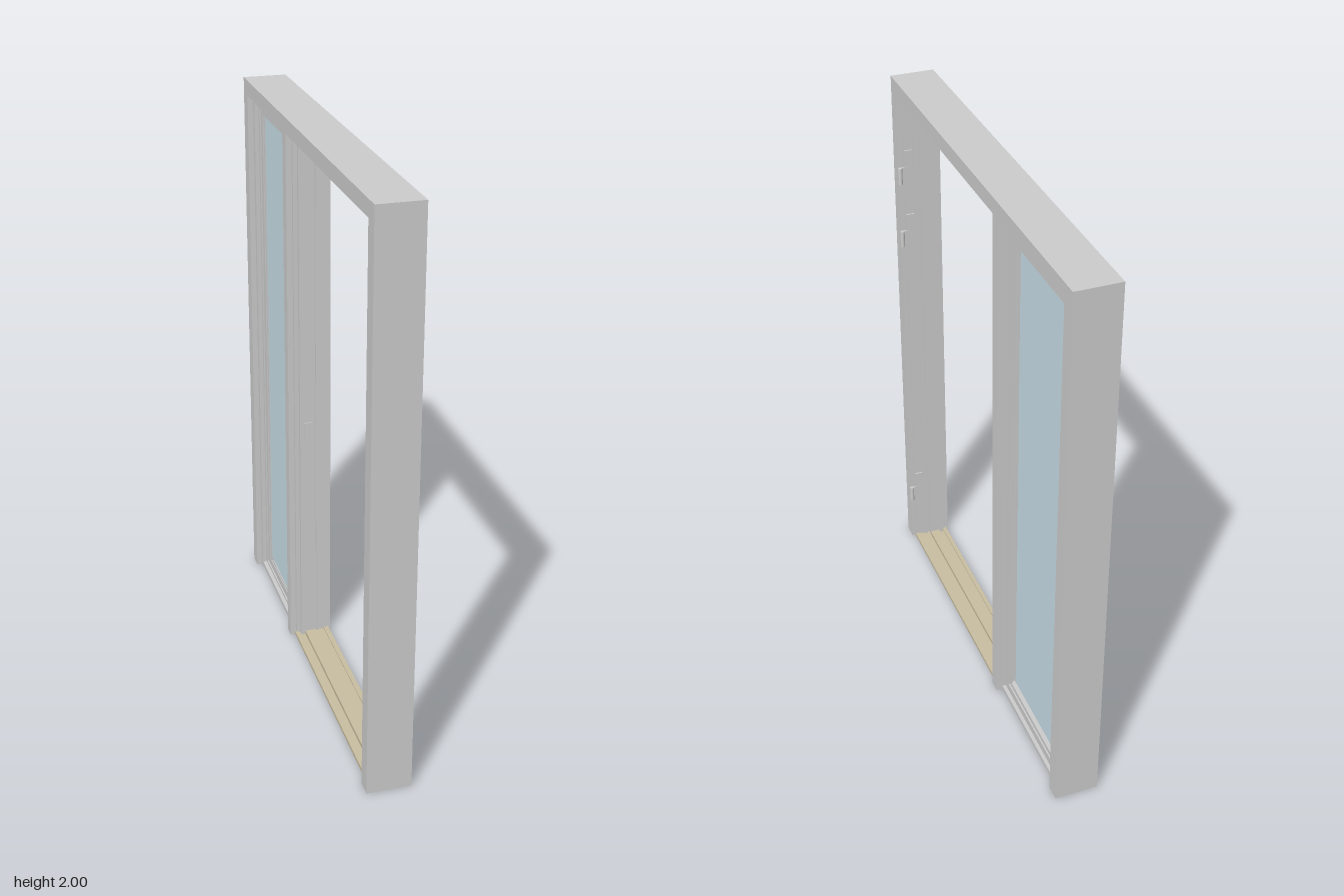
import * as THREE from 'three';

const grey = new THREE.MeshStandardMaterial({ color: 0xcccccc });
const glassMat = new THREE.MeshStandardMaterial({ color: 0xc8dde6 });
const sillMat = new THREE.MeshStandardMaterial({ color: 0xc8bda0 });

const HALF = 0.79, TOP = 2, MULLION = -0.21;

// Depth slabs of the stepped profile: [x0, x1, frame width, mullion half width]
const STEPS = [
  [0.055, 0.07, 0.055, 0.022],
  [0.02, 0.055, 0.07, 0.03],
  [0.012, 0.02, 0.078, 0.038],
  [0.002, 0.012, 0.07, 0.03],
  [-0.05, 0.002, 0.09, 0.05],
  [-0.065, -0.05, 0.075, 0.035],
  [-0.085, -0.065, 0.055, 0.022],
];

function add(group, name, geometry, material = grey) {
  const mesh = new THREE.Mesh(geometry, material);
  mesh.name = name;
  group.add(mesh);
  return mesh;
}

// Box given by its limits on each axis
function box(group, name, x0, x1, y0, y1, z0, z1, material) {
  const g = new THREE.BoxGeometry(x1 - x0, y1 - y0, z1 - z0);
  g.translate((x0 + x1) / 2, (y0 + y1) / 2, (z0 + z1) / 2);
  return add(group, name, g, material);
}

// Outline in the z-y plane, extruded along x
function slab(points, x0, x1, hole) {
  const toVec = ([z, y]) => new THREE.Vector2(-z, y);
  const shape = new THREE.Shape(points.map(toVec));
  if (hole) shape.holes.push(new THREE.Path(hole.map(toVec)));
  return new THREE.ExtrudeGeometry(shape, { depth: x1 - x0, bevelEnabled: false })
    .rotateY(Math.PI / 2).translate(x0, 0, 0);
}

const rect = (z0, z1, y0, y1) => [[z0, y0], [z1, y0], [z1, y1], [z0, y1]];

function createFrame() {
  const frame = new THREE.Group();
  frame.name = 'outerFrame';
  for (const [x0, x1, w, m] of STEPS) {
    const i = HALF - w, t = TOP - w;
    // Two jambs and the head in one piece, open at the floor
    add(frame, 'jambsAndHead', slab([
      [HALF, 0], [HALF, TOP], [-HALF, TOP], [-HALF, 0],
      [-i, 0], [-i, t], [i, t], [i, 0],
    ], x0, x1));
    box(frame, 'mullion', x0, x1, 0, t, MULLION - m, MULLION + m);
  }
  return frame;
}

function createSidelight() {
  const light = new THREE.Group();
  light.name = 'sidelight';
  const ring = (name, a, b, x0, x1) =>
    add(light, name, slab(rect(...a), x0, x1, rect(...b)));
  ring('sash', [-0.705, -0.245, 0.03, 1.917], [-0.675, -0.275, 0.06, 1.89], -0.045, 0.04);
  ring('glazingBead', [-0.68, -0.27, 0.055, 1.895], [-0.67, -0.28, 0.065, 1.885], -0.04, 0.03);
  box(light, 'glassPane', -0.035, 0.012, 0.06, 1.89, -0.675, -0.275, glassMat);
  // Stepped bottom rail
  box(light, 'bottomRail', -0.065, 0.05, 0.005, 0.022, -0.72, -0.235);
  box(light, 'bottomRailUpstand', -0.05, 0.02, 0.02, 0.032, -0.72, -0.24);
  return light;
}

function createSill() {
  const sill = new THREE.Group();
  sill.name = 'threshold';
  const z0 = -0.185, z1 = 0.722;
  box(sill, 'sillBase', -0.07, 0.06, 0.006, 0.014, z0, z1, sillMat);
  box(sill, 'sillRidge', -0.035, 0.002, 0.012, 0.028, z0, z1, sillMat);
  box(sill, 'sillNosing', 0.042, 0.06, 0.012, 0.019, z0, z1, sillMat);
  box(sill, 'sillBackEdge', -0.07, -0.055, 0.012, 0.019, z0, z1, sillMat);
  return sill;
}

function createHinge(y) {
  const hinge = new THREE.Group();
  hinge.name = 'hinge';
  add(hinge, 'hingeBarrel', new THREE.CylinderGeometry(0.008, 0.008, 0.062, 20))
    .position.set(0.073, 0, 0.711);
  box(hinge, 'hingeArm', 0.045, 0.073, -0.03, 0.03, 0.713, 0.718);
  box(hinge, 'hingeLeaf', 0.025, 0.055, -0.03, 0.092, 0.714, 0.721);
  hinge.position.y = y;
  return hinge;
}

export function createModel() {
  const model = new THREE.Group();
  model.name = 'doorFrameWithSidelight';
  model.add(createFrame(), createSidelight(), createSill());
  for (const y of [0.238, 1.405, 1.655]) model.add(createHinge(y));
  // Lock strike plate on the mullion stop
  box(model, 'strikePlate', -0.035, -0.005, 0.78, 0.9, -0.162, -0.156);
  return model;
}
